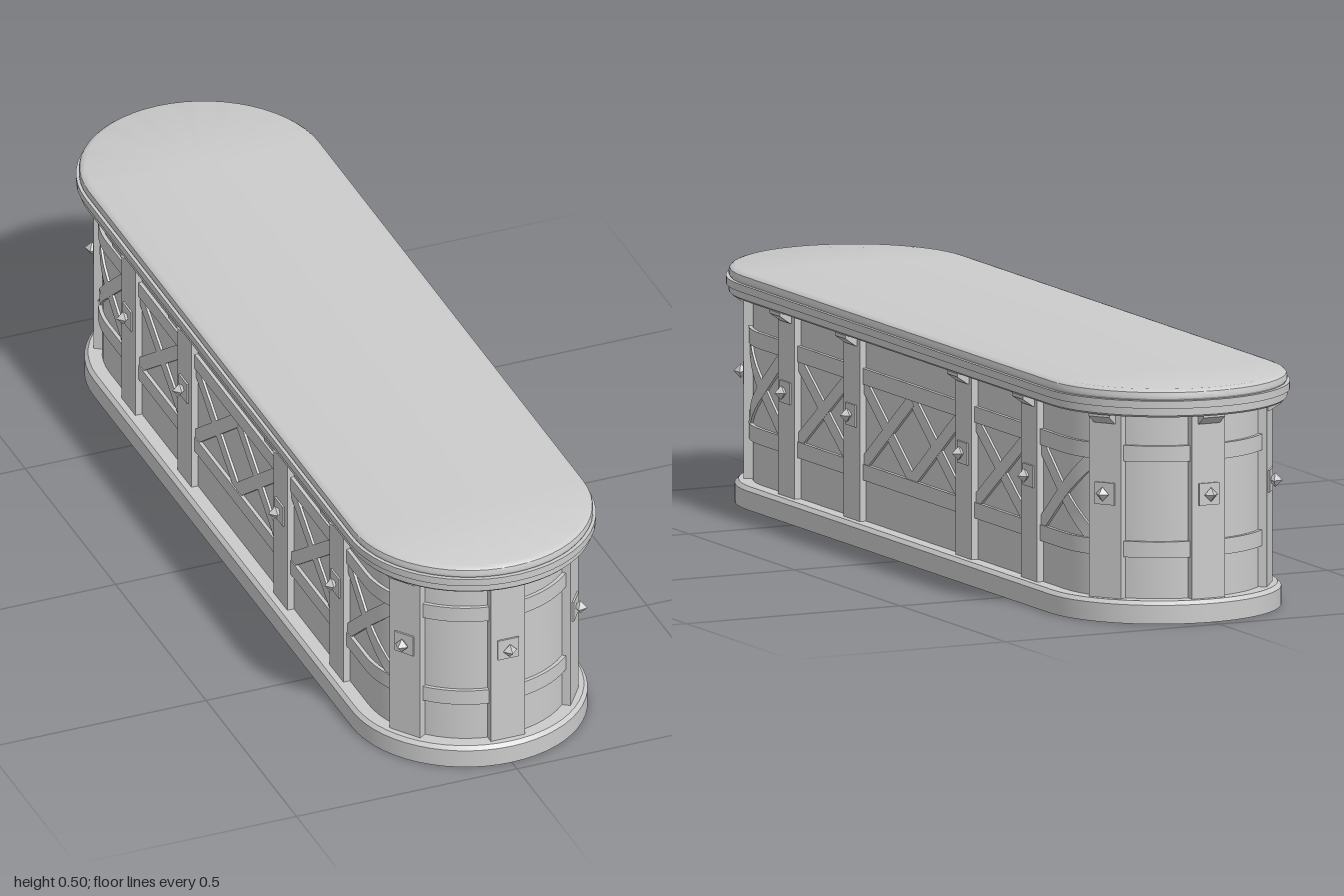
import * as THREE from 'three';
import { toCreasedNormals } from 'three/addons/utils/BufferGeometryUtils.js';

const C = 0.715;           // z of the centres of the rounded ends
const R = 0.22;            // wall radius, used to measure along the perimeter
const ARC = Math.PI * R;
const HALF = 2 * C + ARC;  // half of the perimeter
const MID = 0.27;          // height of studs and brace crossings
const grey = new THREE.MeshStandardMaterial({ color: 0xcccccc });
const greyDouble = new THREE.MeshStandardMaterial({ color: 0xcccccc, side: THREE.DoubleSide });

// Outward angle and centre z at distance s along the perimeter (s = 0 is the middle of the +x side)
function frame(s) {
  if (s <= C) return { a: 0, z: s };
  if (s <= C + ARC) return { a: (s - C) / R, z: C };
  return { a: Math.PI, z: 2 * C + ARC - s };
}

function add(parent, name, geometry, material = grey) {
  const mesh = new THREE.Mesh(geometry, material);
  mesh.name = name;
  parent.add(mesh);
  return mesh;
}

// Sweep a [radius, y] profile around the long rounded plan
function sweep(profile, centre, n = 28) {
  const geo = new THREE.LatheGeometry(profile.map(p => new THREE.Vector2(...p)), 2 * n + 2);
  const pos = geo.attributes.position;
  for (let k = 0; k < pos.count; k++) {
    const i = Math.floor(k / profile.length) % (2 * n + 2);
    const [r, y] = profile[k % profile.length];
    const front = i <= n;
    const phi = -Math.PI / 2 + Math.PI * (front ? i : i - 1) / n;
    pos.setXYZ(k, r * Math.sin(phi), y, r * Math.cos(phi) + (front ? centre : -centre));
  }
  return toCreasedNormals(geo, 0.5);
}

// Flat board, tilted in the wall plane, then bent around the perimeter
function bentBoard(s, y, length, height, r0, r1, tilt = 0) {
  const geo = new THREE.BoxGeometry(length, height, r1 - r0, 14, 1, 1);
  geo.rotateZ(tilt);
  const pos = geo.attributes.position;
  for (let i = 0; i < pos.count; i++) {
    const f = frame(s - pos.getX(i));
    const r = (r0 + r1) / 2 + pos.getZ(i);
    pos.setXYZ(i, r * Math.cos(f.a), y + pos.getY(i), f.z + r * Math.sin(f.a));
  }
  geo.computeVertexNormals();
  return geo;
}

// Pilaster with its corbel, square plate and pointed stud; local z points outward
function pilaster(s) {
  const g = new THREE.Group();
  g.name = 'pilaster';
  const f = frame(s);
  g.position.z = f.z;
  g.rotation.y = Math.PI / 2 - f.a;

  add(g, 'pilasterBoard', new THREE.BoxGeometry(0.077, 0.4, 0.031)).position.set(0, 0.244, 0.2195);

  const wedge = new THREE.Shape([[0.232, 0.42], [0.238, 0.42], [0.262, 0.437], [0.262, 0.444], [0.232, 0.444]]
    .map(p => new THREE.Vector2(...p)));
  const corbel = new THREE.ExtrudeGeometry(wedge, { depth: 0.05, bevelEnabled: false });
  corbel.translate(0, 0, -0.025).rotateY(-Math.PI / 2);
  add(g, 'corbel', corbel);

  add(g, 'studPlate', new THREE.BoxGeometry(0.047, 0.047, 0.006)).position.set(0, MID, 0.236);
  add(g, 'stud', new THREE.OctahedronGeometry(0.0155)).position.set(0, MID, 0.247);
  return g;
}

// Two crossed boards
function cross(parent, s, width) {
  const h = 0.172;
  const tilt = Math.atan2(h, width);
  for (const side of [-1, 1]) {
    const out = side > 0 ? 0.2255 : 0.225;
    add(parent, 'crossBrace', bentBoard(s, 0.255, Math.hypot(width, h), 0.03, 0.208, out, side * tilt));
  }
}

// One side and one rounded end; the other half is the same turned around
function halfBody() {
  const g = new THREE.Group();
  g.name = 'halfBody';
  const end = C + ARC / 2;
  const corner = 0.61 * R;
  const posts = [-0.575, -0.265, 0.265, 0.575, C + corner, end, C + ARC - corner];
  posts.forEach((s, i) => {
    g.add(pilaster(s));
    const next = i < posts.length - 1 ? posts[i + 1] : posts[0] + HALF;
    const mid = (s + next) / 2;
    const span = next - s;
    for (const y of [0.153, 0.357]) {
      add(g, 'rail', bentBoard(mid, y, span - 0.06, 0.034, 0.207, 0.228));
    }
    const clear = span - 0.07;
    if (i === 1) {
      // the wide middle bay holds two crosses that leave a diamond between them
      for (const side of [-1, 1]) cross(g, mid + side * clear / 4, clear / 2);
    } else if (i !== 4 && i !== 5) {
      cross(g, mid, clear);
    }
  });
  return g;
}

export function createModel() {
  const model = new THREE.Group();
  model.name = 'counter';

  // Plinth ring
  add(model, 'plinth', sweep([
    [0.213, 0], [0.257, 0], [0.257, 0.04], [0.249, 0.048], [0.213, 0.048], [0.213, 0],
  ], C));

  // Thin hollow wall
  add(model, 'wall', sweep([
    [0.213, 0.03], [0.22, 0.03], [0.22, 0.445], [0.213, 0.445], [0.213, 0.03],
  ], C), greyDouble);

  // Stepped cornice and rounded top
  add(model, 'cornice', sweep([
    [0, 0.443], [0.258, 0.443], [0.262, 0.447], [0.262, 0.463], [0.268, 0.463], [0.268, 0.479], [0, 0.479],
  ], 0.732));
  add(model, 'top', sweep([
    [0, 0.478], [0.26, 0.478], [0.263, 0.483], [0.263, 0.49], [0.261, 0.496], [0.256, 0.5], [0.249, 0.502], [0, 0.502],
  ], 0.73));

  const front = halfBody();
  const back = halfBody();
  back.rotation.y = Math.PI;
  model.add(front, back);
  return model;
}
